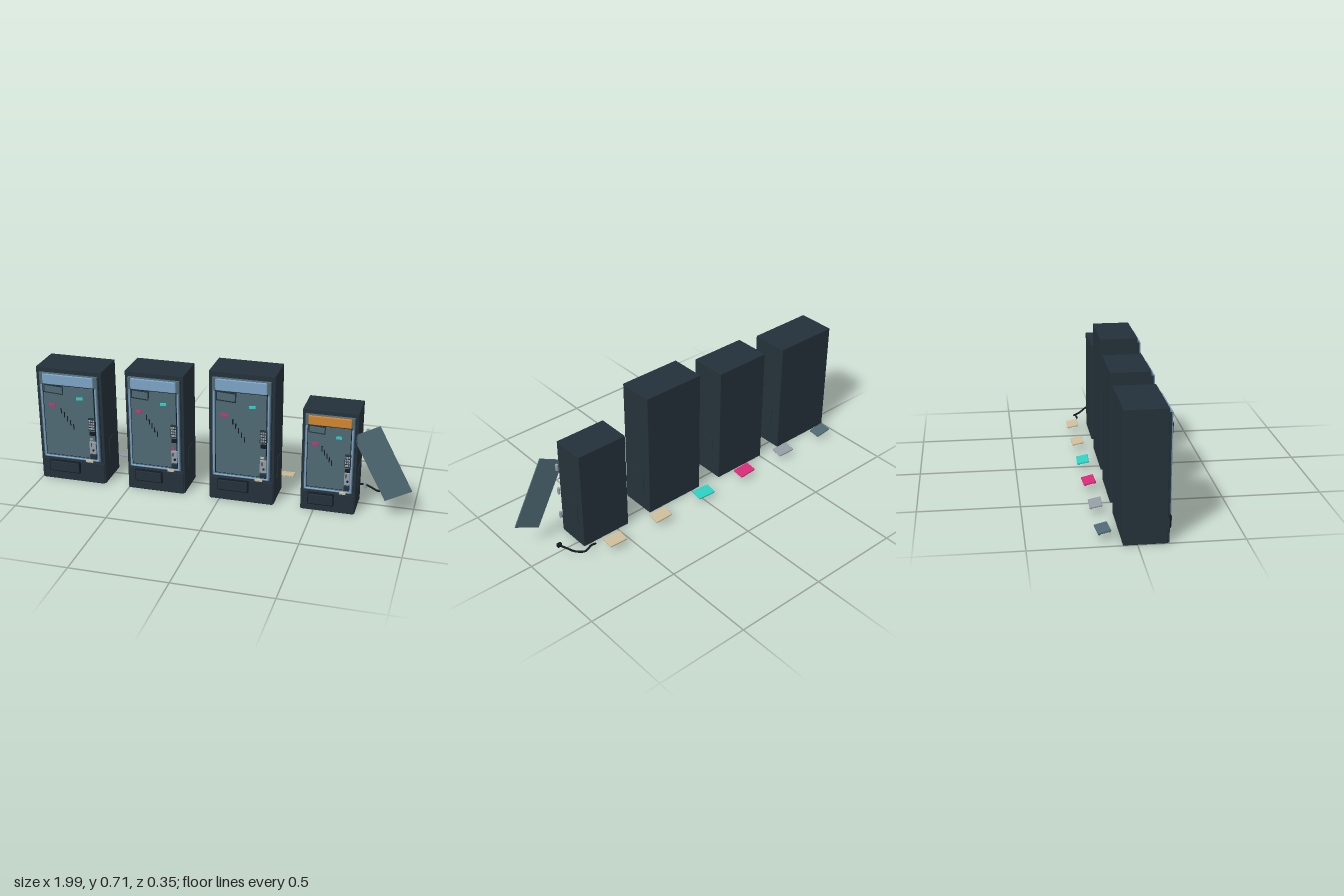
import * as THREE from 'three';
import { RoundedBoxGeometry } from 'three/addons/geometries/RoundedBoxGeometry.js';

const paint = (name, color) => {
  const m = new THREE.MeshStandardMaterial({ color });
  m.name = name;
  return m;
};

export function createModel() {
  const M = {
    body: paint('dark cabinet', 0x24313a),
    black: paint('black rubber', 0x141a1f),
    slate: paint('slate panel', 0x4f6974),
    blue: paint('pale blue trim', 0x7ba3c6),
    orange: paint('orange header', 0xd0852f),
    magenta: paint('magenta', 0xd92a78),
    teal: paint('teal', 0x2cd0c3),
    tan: paint('tan', 0xcdbd9a),
    grey: paint('light grey', 0x959da5),
  };
  const root = new THREE.Group();
  root.name = 'cabinetRow';

  // Helper: box with its centre, size and optional rounding
  const box = (parent, name, mat, size, pos, round = 0) => {
    const geo = round ? new RoundedBoxGeometry(...size, 2, round) : new THREE.BoxGeometry(...size);
    const mesh = new THREE.Mesh(geo, mat);
    mesh.name = name;
    mesh.position.set(...pos);
    parent.add(mesh);
    return mesh;
  };
  const rod = (parent, name, mat, r, len, pos, axis = 'y') => {
    const mesh = new THREE.Mesh(new THREE.CylinderGeometry(r, r, len, 12), mat);
    mesh.name = name;
    mesh.position.set(...pos);
    if (axis === 'x') mesh.rotation.z = Math.PI / 2;
    if (axis === 'z') mesh.rotation.x = Math.PI / 2;
    parent.add(mesh);
    return mesh;
  };

  // One cabinet with its door, controls and hatch
  function cabinet(x0, x1, h, zb, zf, header, accent) {
    const g = new THREE.Group();
    g.name = 'cabinet';
    g.position.x = (x0 + x1) / 2;
    root.add(g);
    const w = x1 - x0;
    box(g, 'cabinetBody', M.body, [w, h, zf - zb], [0, h / 2, (zf + zb) / 2], 0.003);

    // Door with pale blue trim
    const y0 = 0.045 + 0.13 * h, y1 = h * 0.96, dw = w * 0.89;
    const dh = y1 - y0, ym = (y0 + y1) / 2;
    box(g, 'doorBacking', M.slate, [dw, dh, 0.016], [0, ym, zf + 0.006], 0.004);
    const hh = h * 0.088, py1 = y1 - hh - 0.004, py0 = y0 + 0.02;
    box(g, 'header', header, [dw * 0.87, hh, 0.016], [0, y1 - hh / 2 - 0.004, zf + 0.014], 0.004);
    box(g, 'panelSurround', M.black, [w * 0.79, py1 - py0, 0.003], [0, (py0 + py1) / 2, zf + 0.0148]);
    box(g, 'doorPanel', M.slate, [w * 0.765, py1 - py0 - 0.008, 0.007], [0, (py0 + py1) / 2, zf + 0.0165]);
    for (const s of [-1, 1]) {
      rod(g, 'sideTrim', M.blue, 0.005, dh - hh - 0.02, [s * w * 0.413, ym - hh / 2, zf + 0.014]);
      box(g, 'outerTrim', M.body, [0.006, dh, 0.01], [s * (dw / 2 + 0.002), ym, zf + 0.006]);
    }
    rod(g, 'bottomTrim', M.blue, 0.005, dw * 0.94, [0, y0 + 0.008, zf + 0.014], 'x');

    // Labels and slits on the panel
    const zp = zf + 0.0225;
    box(g, 'namePlate', M.body, [w * 0.3, h * 0.075, 0.006], [-w * 0.22, h * 0.828, zp]).rotation.z = -0.06;
    box(g, 'nameInset', M.slate, [w * 0.27, h * 0.055, 0.002], [-w * 0.22, h * 0.828, zp + 0.003]).rotation.z = -0.06;
    box(g, 'magentaLabel', M.magenta, [w * 0.1, 0.013, 0.006], [-w * 0.25, h * 0.685, zp]);
    box(g, 'tealLabel', M.teal, [w * 0.1, 0.014, 0.006], [w * 0.175, h * 0.766, zp]).rotation.z = 0.08;
    for (let i = 0; i < 5; i++)
      box(g, 'slit', M.black, [0.005, 0.03, 0.003], [w * (-0.12 + 0.045 * i), h * (0.64 - 0.033 * i), zp - 0.002]);

    // Control column: keypad, small buttons and coin unit
    const cx = w * 0.35, ky = h * 0.55;
    box(g, 'keypad', M.body, [w * 0.11, 0.07, 0.014], [cx, ky, zf + 0.024], 0.003);
    for (let r = 0; r < 4; r++)
      for (let c = -1; c <= 1; c++)
        box(g, 'key', M.grey, [w * 0.024, 0.009, 0.004], [cx + c * w * 0.031, ky + (r - 1.5) * 0.015, zf + 0.032]);
    box(g, 'noteSlot', M.black, [w * 0.09, 0.02, 0.01], [cx, ky - 0.055, zf + 0.022]);
    const cy = 0.15 + 0.105 * h;
    box(g, 'coinUnit', M.grey, [w * 0.1, 0.07, 0.012], [cx, cy, zf + 0.025], 0.003);
    box(g, 'coinSlot', M.black, [0.004, 0.02, 0.003], [cx - 0.005, cy + 0.016, zf + 0.031]);
    rod(g, 'coinButton', M.black, 0.006, 0.005, [cx + 0.004, cy - 0.012, zf + 0.032], 'z');
    box(g, 'coinReturn', M.body, [w * 0.1, 0.025, 0.014], [cx, cy - 0.054, zf + 0.024], 0.003);
    box(g, 'accentTab', accent, [w * 0.05, 0.01, 0.008], [cx - w * 0.02, cy + 0.047, zf + 0.022]);
    box(g, 'tanTab', M.tan, [w * 0.11, 0.01, 0.012], [w * 0.28, y0 + 0.005, zf + 0.022]);

    // Kick plate and collection hatch
    const kh = y0 - 0.012;
    box(g, 'kickPlate', M.body, [w * 0.97, kh, 0.01], [0, kh / 2, zf + 0.004], 0.003);
    box(g, 'hatchFrame', M.black, [w * 0.48, 0.066, 0.016], [-w * 0.12, y0 - 0.046, zf + 0.014], 0.004);
    box(g, 'hatchFlap', M.body, [w * 0.45, 0.056, 0.012], [-w * 0.12, y0 - 0.046, zf + 0.021], 0.004);

    // Service plate on the side
    box(g, 'sidePlate', M.body, [0.006, 0.11, 0.08], [w / 2, 0.18, 0.03]);
  }

  cabinet(-1, -0.635, 0.64, -0.066, 0.138, M.blue, M.grey);
  cabinet(-0.505, -0.19, 0.665, -0.062, 0.138, M.blue, M.magenta);
  cabinet(-0.055, 0.29, 0.712, -0.055, 0.138, M.blue, M.tan);
  cabinet(0.43, 0.712, 0.557, -0.05, 0.131, M.orange, M.grey);

  // Detached door leaning on the last cabinet, with its loose hinge pins
  box(root, 'leaningPanel', M.slate, [0.15, 0.38, 0.006], [0.84, 0.3, 0.128]).rotation.z = 0.485;
  for (const y of [0.15, 0.3, 0.445]) rod(root, 'hingePin', M.grey, 0.0075, 0.034, [0.753, y, 0.083]);

  // Loose power cable and plug
  const path = new THREE.CatmullRomCurve3([
    [0.68, 0.04, -0.105], [0.715, 0.053, -0.115], [0.755, 0.04, -0.118],
    [0.795, 0.04, -0.085], [0.82, 0.054, -0.055], [0.84, 0.065, -0.03],
  ].map(p => new THREE.Vector3(...p)));
  const cable = new THREE.Mesh(new THREE.TubeGeometry(path, 40, 0.0055, 8), M.black);
  cable.name = 'powerCable';
  root.add(cable);
  box(root, 'plug', M.black, [0.024, 0.02, 0.018], [0.842, 0.067, -0.022], 0.003);

  // Row of tilted sample tiles behind the cabinets
  [M.slate, M.grey, M.magenta, M.teal, M.tan, M.tan].forEach((mat, i) => {
    const g = new THREE.Group();
    g.name = 'sampleTile';
    g.position.set(-0.895 + 0.2965 * i, 0.043, -0.146);
    g.rotation.set(-0.2, [0.08, -0.02, 0.05, -0.05, 0.02, -0.03][i], 0);
    root.add(g);
    box(g, 'tile', mat, [0.102, 0.01, 0.063], [0, 0.001, 0], 0.003);
    for (let k = 0; k < 7; k++)
      for (const s of [-1, 1])
        box(g, 'tileFoot', mat, [0.007, 0.005, 0.008], [(k - 3) * 0.014, -0.006, s * 0.024]);
  });
  return root;
}
